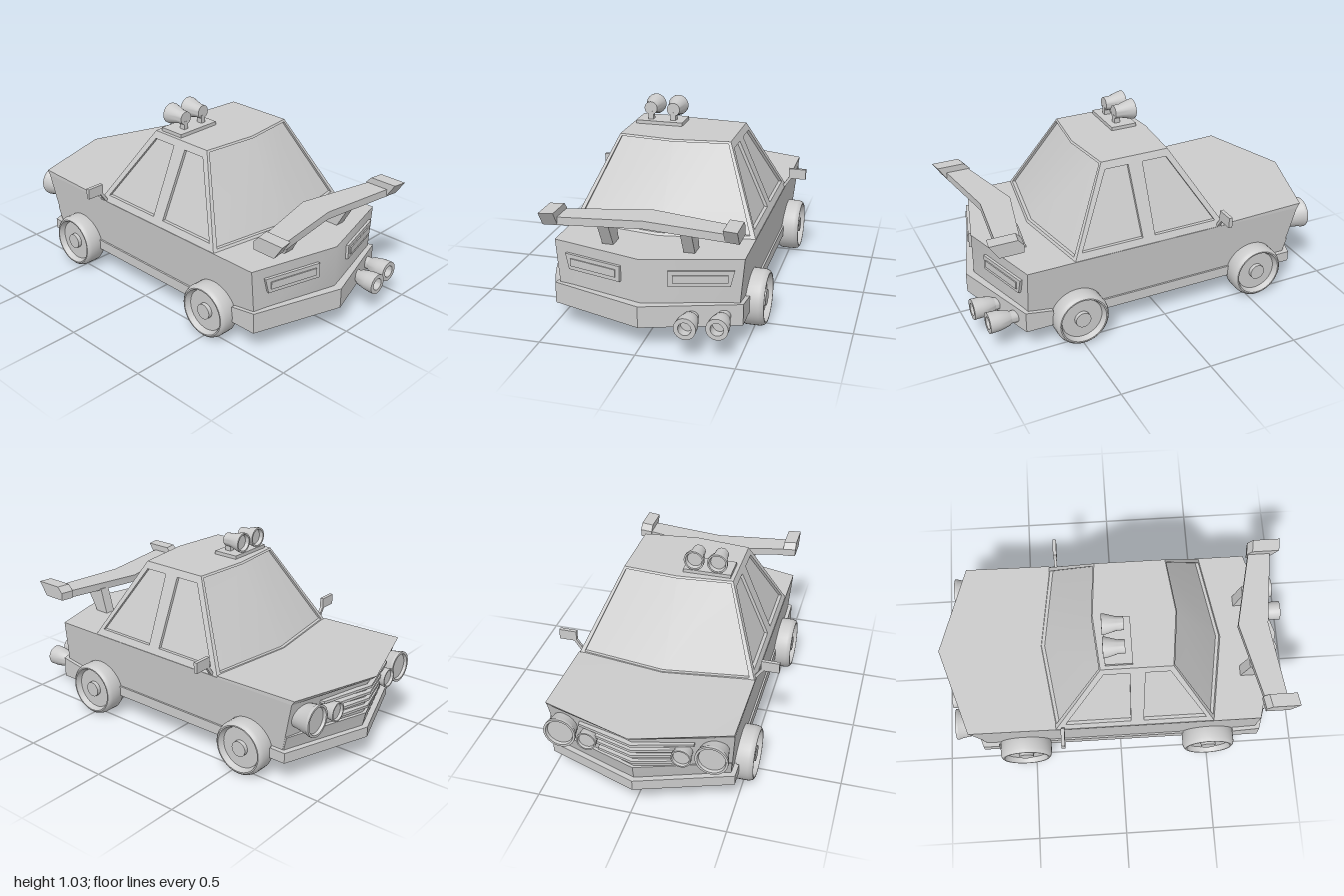
import * as THREE from 'three';
import { toCreasedNormals } from 'three/addons/utils/BufferGeometryUtils.js';

const grey = new THREE.MeshStandardMaterial({ color: 0xcccccc });
const lerp = THREE.MathUtils.lerp;

function add(parent, name, geometry, x = 0, y = 0, z = 0) {
  const mesh = new THREE.Mesh(geometry, grey);
  mesh.name = name;
  mesh.position.set(x, y, z);
  parent.add(mesh);
  return mesh;
}

// Geometry from polygons (counter-clockwise from outside), soft over shallow bends
function polys(faces) {
  const pos = [];
  for (const f of faces)
    for (let i = 1; i < f.length - 1; i++) pos.push(...f[0], ...f[i], ...f[i + 1]);
  const g = new THREE.BufferGeometry();
  g.setAttribute('position', new THREE.Float32BufferAttribute(pos, 3));
  g.computeVertexNormals();
  return toCreasedNormals(g, 0.6);
}

// Closed solid through stacked loops, each clockwise as seen from the last loop's end
function loft(loops) {
  const n = loops[0].length;
  const faces = [loops[0], [...loops[loops.length - 1]].reverse()];
  for (let k = 0; k < loops.length - 1; k++)
    for (let i = 0; i < n; i++) {
      const j = (i + 1) % n;
      faces.push([loops[k][j], loops[k][i], loops[k + 1][i], loops[k + 1][j]]);
    }
  return polys(faces);
}

// Six-sided plan with a pointed nose and tail; the two halves may differ in height
const plan = (y, w, noseCorner, noseTip, tailCorner, tailTip, tailY = y) => [
  [-w, y, noseCorner], [0, y, noseTip], [w, y, noseCorner],
  [w, tailY, tailCorner], [0, tailY, tailTip], [-w, tailY, tailCorner]];

// Frame around a recessed pane
function framedPane(outer, inner, inward) {
  const n = outer.length;
  const pane = inner.map(p => p.map((v, k) => v + inward[k]));
  const faces = [];
  for (let i = 0; i < n; i++) {
    const j = (i + 1) % n;
    faces.push([outer[i], outer[j], inner[j], inner[i]], [inner[i], inner[j], pane[j], pane[i]]);
  }
  if (n === 6) faces.push([pane[0], pane[1], pane[4], pane[5]], [pane[1], pane[2], pane[3], pane[4]]);
  else faces.push(pane);
  return polys(faces);
}

const mirrorLoop = loop => loop.map(([x, y, z]) => [-x, y, z]).reverse();

// Turned part: [radius, height] profile from bottom to top
function turned(profile, segments = 32) {
  const g = new THREE.LatheGeometry(profile.map(p => new THREE.Vector2(...p)), segments);
  return toCreasedNormals(g, 0.6);
}

function addBody(car) {
  add(car, 'lowerSill', loft([0.13, 0.187].map(y => plan(y, 0.475, -0.78, -0.93, 0.77, 0.9))));
  add(car, 'bodyShell', loft([
    plan(0.185, 0.465, -0.76, -0.925, 0.77, 0.905),
    plan(0.47, 0.49, -0.825, -0.95, 0.77, 0.905)]));
  add(car, 'hood', loft([
    plan(0.466, 0.49, -0.825, -0.975, -0.36, -0.36),
    plan(0.49, 0.49, -0.84, -1, -0.36, -0.36, 0.478)]));
  add(car, 'noseLip', loft([
    plan(0.18, 0.464, -0.765, -0.932, -0.7, -0.7),
    plan(0.265, 0.471, -0.787, -0.95, -0.7, -0.7)]));
  add(car, 'noseBumper', loft([0.13, 0.187].map(y => plan(y, 0.49, -0.79, -0.965, -0.7, -0.7))));
  add(car, 'tailBumper', loft([
    plan(0.128, 0.49, 0.64, 0.64, 0.79, 0.95),
    plan(0.216, 0.49, 0.64, 0.64, 0.79, 0.95, 0.241)]));
}

function addCabin(car) {
  const Y0 = 0.47, Y1 = 0.9;
  const halfWidth = t => lerp(0.487, 0.3, t);
  // Pointed window: s runs across, t runs up
  const screen = (name, base, tip, topCorner, topTip, dir) => {
    const at = (s, t) => [s * dir * halfWidth(t), lerp(Y0, Y1, t),
      lerp(lerp(tip, base, Math.abs(s)), lerp(topTip, topCorner, Math.abs(s)), t)];
    const ring = (s, a, b) => [at(-s, a), at(0, a), at(s, a), at(s, b), at(0, b), at(-s, b)];
    add(car, name, framedPane(ring(1, 0, 1), ring(0.95, 0.03, 0.975), [0, 0, -0.018 * dir]));
  };
  screen('rearWindow', 0.51, 0.59, 0.28, 0.315, 1);
  screen('windscreen', -0.36, -0.43, -0.1, -0.125, -1);

  // Side windows, each wall split at the middle pillar
  const point = (z, y) => [halfWidth((y - Y0) / (Y1 - Y0)), y, z];
  const quad = (z0, z1, z2, z3, y0, y1) => [point(z0, y0), point(z1, y0), point(z2, y1), point(z3, y1)];
  const sides = [
    ['rearSideWindow', quad(0.51, 0.088, 0.088, 0.28, Y0, Y1), quad(0.466, 0.123, 0.134, 0.265, 0.505, 0.863)],
    ['doorWindow', quad(0.088, -0.36, -0.1, 0.088, Y0, Y1), quad(0.053, -0.305, -0.085, 0.053, 0.505, 0.863)]];
  for (const [name, outer, inner] of sides) {
    add(car, name + 'Left', framedPane(outer, inner, [-0.018, 0, 0]));
    add(car, name + 'Right', framedPane(mirrorLoop(outer), mirrorLoop(inner), [0.018, 0, 0]));
  }
  add(car, 'roof', loft([0.892, 0.9].map(y => plan(y, 0.3, -0.1, -0.125, 0.28, 0.315))));
}

function addWheels(car) {
  const tyre = turned([[0, 0], [0.115, 0], [0.137, 0.01], [0.147, 0.03], [0.147, 0.105], [0.141, 0.122],
    [0.132, 0.13], [0.125, 0.13], [0.112, 0.1], [0.042, 0.1], [0.042, 0.122], [0, 0.122]], 40);
  for (const side of [-1, 1])
    for (const z of [0.5, -0.55])
      add(car, 'wheel', tyre, side * 0.43, 0.152, z).rotation.z = -side * Math.PI / 2;
}

function addNose(car) {
  // Headlamps open towards -z
  const lamp = r => turned([[0, 0], [r * 0.75, 0], [r * 0.96, 0.1], [r, 0.105], [r, 0.12],
    [r * 0.86, 0.12], [r * 0.8, 0.105], [0, 0.105]]);
  const big = lamp(0.085), small = lamp(0.052);
  for (const side of [-1, 1]) {
    add(car, 'headlamp', big, side * 0.395, 0.37, -0.795).rotation.x = -Math.PI / 2;
    add(car, 'innerLamp', small, side * 0.245, 0.365, -0.815).rotation.x = -Math.PI / 2;
  }
  // Pointed grille blades, shorter towards the bottom
  [0.422, 0.385, 0.347, 0.305].forEach((y, i) => {
    const w = 0.3 - i * 0.035, tip = -0.973 + i * 0.005, corner = tip + w * 0.29;
    add(car, 'grilleBlade', loft([y - 0.007, y + 0.007].map(h => plan(h, w, corner, tip, -0.8, -0.8))));
  });
}

function addTail(car) {
  // Tail lamps lie on the slanted rear faces
  for (const side of [-1, 1]) {
    const lamp = new THREE.Group();
    lamp.name = 'tailLamp';
    const corners = [[-0.16, 0.041], [0.165, 0.041], [0.145, -0.041], [-0.16, -0.041]];
    const plate = new THREE.Shape(corners.map(([x, y]) => new THREE.Vector2(x * side, y)));
    add(lamp, 'tailLampFrame', new THREE.ExtrudeGeometry(plate, { depth: 0.024, bevelEnabled: false }), 0, 0, -0.01);
    add(lamp, 'tailLampLens', new THREE.BoxGeometry(0.27, 0.04, 0.03), -side * 0.002, 0, 0.005);
    const x = side * 0.272 + 0.012;
    lamp.position.set(x, 0.373, 0.905 - Math.abs(x) * 0.2755);
    lamp.rotation.y = side * Math.atan(0.2755);
    car.add(lamp);
  }
  // Twin exhausts, open at the back
  const pipe = turned([[0, 0], [0.033, 0], [0.033, 0.06], [0.043, 0.075], [0.054, 0.13], [0.056, 0.18],
    [0.033, 0.18], [0.033, 0.13], [0, 0.13]]);
  for (const [x, z] of [[0.25, 0.82], [0.4, 0.785]])
    add(car, 'exhaust', pipe, x, 0.18, z).rotation.x = Math.PI / 2;
}

function addSpoiler(car) {
  // Blade sections run across, from right to left
  const section = (x, front, back) =>
    [[x, 0.602, front], [x, 0.602, back], [x, 0.643, back], [x, 0.643, front]];
  add(car, 'spoilerBlade', loft([section(-0.44, 0.778, 0.9), section(0, 0.675, 0.84), section(0.44, 0.778, 0.9)]));

  // Raised block at each end
  const block = (x, dz) => [[0.602, 0.765], [0.602, 0.895], [0.678, 0.945], [0.678, 0.795], [0.645, 0.765]]
    .map(([y, z]) => [x, y, z + dz]);
  add(car, 'spoilerEndLeft', loft([block(0.418, 0), block(0.49, 0.012)]));
  add(car, 'spoilerEndRight', loft([block(-0.49, 0.012), block(-0.418, 0)]));

  // Slanted struts
  for (const side of [-1, 1]) {
    const strut = (y, z0, z1) => {
      const a = side * 0.21 - 0.029, b = side * 0.21 + 0.029;
      return [[a, y, z0], [b, y, z0], [b, y, z1], [a, y, z1]];
    };
    add(car, 'spoilerStrut', loft([strut(0.465, 0.68, 0.76), strut(0.61, 0.72, 0.84)]));
  }
}

function addMirrors(car) {
  for (const side of [-1, 1]) {
    add(car, 'mirror', new THREE.BoxGeometry(0.097, 0.058, 0.02), side * 0.56, 0.554, -0.32);
    const arm = add(car, 'mirrorArm', new THREE.BoxGeometry(0.016, 0.085, 0.016), side * 0.5, 0.5, -0.32);
    arm.rotation.z = -side * 0.6;
  }
}

function addRoofLamps(car) {
  add(car, 'roofLampPlate', new THREE.BoxGeometry(0.26, 0.022, 0.145), -0.15, 0.908, -0.002);
  const lamp = turned([[0, 0], [0.036, 0], [0.038, 0.04], [0.055, 0.1], [0.055, 0.115], [0.046, 0.115], [0.04, 0.095], [0, 0.095]]);
  for (const x of [-0.207, -0.08]) {
    add(car, 'roofLamp', lamp, x, 0.98, 0.033).rotation.x = -Math.PI / 2;
    add(car, 'roofLampStem', new THREE.BoxGeometry(0.028, 0.05, 0.034), x, 0.938, 0.017);
  }
}

export function createModel() {
  const car = new THREE.Group();
  car.name = 'car';
  for (const build of [addBody, addCabin, addWheels, addNose, addTail, addSpoiler, addMirrors, addRoofLamps]) build(car);
  return car;
}
